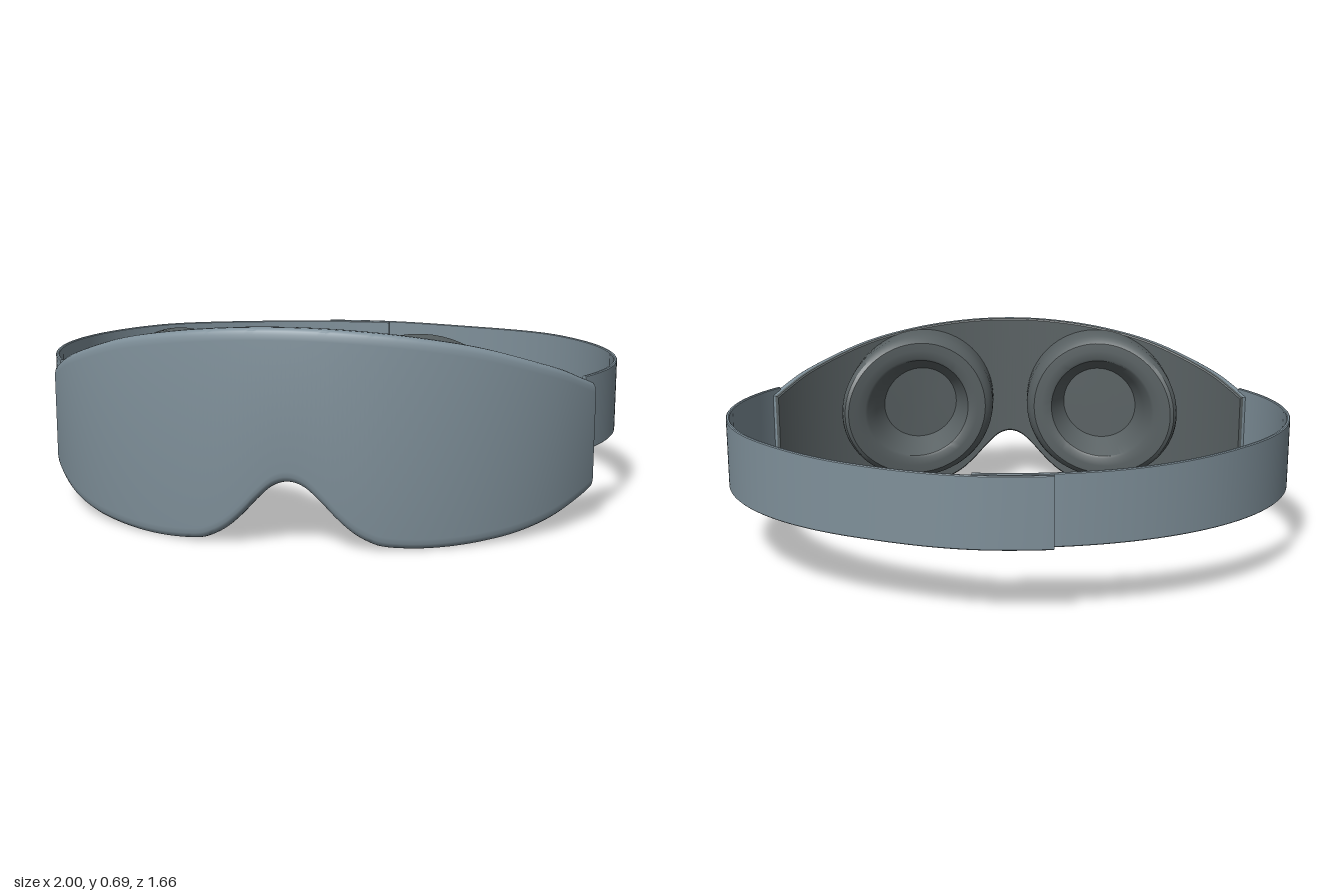
import * as THREE from 'three';
import { toCreasedNormals } from 'three/addons/utils/BufferGeometryUtils.js';

const MASK = { a: 1.01, b: 0.83 };    // plan ellipse of the mask's outer face
const STRAP = { a: 1.0, b: 0.803 };   // plan ellipse of the strap
const HALF = 0.925;                   // half width of the mask

// Point on a plan ellipse at angle t (0 = front, + towards +x), moved inwards by d
function onEllipse({ a, b }, t, d, y) {
  const n = new THREE.Vector2(Math.sin(t) / a, Math.cos(t) / b).normalize();
  return new THREE.Vector3(a * Math.sin(t) - n.x * d, y, b * Math.cos(t) - n.y * d);
}

// Solid skin through closed rings of equal length, with end caps
function loft(rings) {
  const m = rings[0].length, last = (rings.length - 1) * m;
  const pos = rings.flat().flatMap((p) => [p.x, p.y, p.z]);
  const idx = [];
  for (let i = 0; i < rings.length - 1; i++) {
    for (let j = 0; j < m; j++) {
      const k = (j + 1) % m, a = i * m + j, d = i * m + k;
      idx.push(a, a + m, d + m, a, d + m, d);
    }
  }
  for (let j = 1; j < m - 1; j++) {
    idx.push(0, j, j + 1, last, last + j + 1, last + j);
  }
  const g = new THREE.BufferGeometry();
  g.setAttribute('position', new THREE.Float32BufferAttribute(pos, 3));
  g.setIndex(idx);
  return toCreasedNormals(g, Math.PI / 5);
}

// Smooth outline y(x) through a few points
function outline(points) {
  const pts = new THREE.SplineCurve(points.map((p) => new THREE.Vector2(...p))).getPoints(400);
  return (x) => {
    const i = Math.max(1, pts.findIndex((p) => p.x >= x));
    const p = pts[i - 1], q = pts[i];
    return p.y + (q.y - p.y) * (x - p.x) / (q.x - p.x);
  };
}

const topEdge = outline([[-0.2, 0.684], [0, 0.692], [0.2, 0.684], [0.4, 0.66], [0.6, 0.617],
  [0.8, 0.542], [0.89, 0.49], [0.94, 0.455]]);
const bottomEdge = outline([[-0.05, 0.202], [0, 0.217], [0.05, 0.202], [0.1, 0.158], [0.15, 0.105],
  [0.2, 0.06], [0.25, 0.03], [0.3, 0.013], [0.4, 0.004], [0.5, 0.004], [0.6, 0.011],
  [0.7, 0.024], [0.8, 0.05], [0.89, 0.09], [0.94, 0.118]]);

// Mask layer: the section lists [depth, inset from bottom/top edge], used up then down
function maskLayer(section) {
  const rings = [], n = 140;
  for (let i = 0; i <= n; i++) {
    const x = HALF * (2 * i / n - 1), t = Math.asin(x / MASK.a);
    const lo = bottomEdge(Math.abs(x)), hi = topEdge(Math.abs(x));
    rings.push([
      ...section.map(([d, e]) => onEllipse(MASK, t, d, lo + e)),
      ...section.slice().reverse().map(([d, e]) => onEllipse(MASK, t, d, hi - e)),
    ]);
  }
  return loft(rings);
}

// Strap half between two angles; lift(t) pushes it outwards
function strapHalf(t0, t1, lift) {
  const rings = [], n = 90, thick = 0.012, r = 0.003;
  for (let i = 0; i <= n; i++) {
    const t = t0 + (t1 - t0) * i / n;
    const back = THREE.MathUtils.smoothstep(-Math.cos(t), 0.6, 1);
    const lo = 0.243, hi = 0.492 - 0.012 * back, o = -lift(t);
    rings.push([[thick - r, lo], [r, lo], [0, lo + r], [0, hi - r],
      [r, hi], [thick - r, hi], [thick, hi - r], [thick, lo + r]]
      .map(([d, y]) => onEllipse(STRAP, t, d + o, y)));
  }
  return loft(rings);
}

// Eye cup: turned profile [radius, depth], bent to follow the inside of the mask
function eyeCup(cx, cy) {
  const profile = [[0.295, -0.01], [0.296, 0.05], [0.295, 0.1], [0.29, 0.122], [0.28, 0.142],
    [0.266, 0.155], [0.235, 0.157], [0.205, 0.155], [0.196, 0.15], [0.17, 0.095],
    [0.143, 0.035], [0.07, 0.035], [0, 0.035]];
  const g = new THREE.LatheGeometry(profile.map((p) => new THREE.Vector2(...p)), 72);
  g.rotateX(-Math.PI / 2);
  g.translate(cx, cy, 0);
  const p = g.attributes.position;
  for (let i = 0; i < p.count; i++) {
    const x = p.getX(i);
    const inner = 0.78 * Math.sqrt(1 - (x / 0.96) ** 2);
    p.setZ(i, p.getZ(i) + inner);
  }
  g.deleteAttribute('normal');
  g.deleteAttribute('uv');
  return toCreasedNormals(g, Math.PI / 6);
}

export function createModel() {
  const fabric = new THREE.MeshStandardMaterial({ name: 'slate fabric', color: 0x7f909a });
  const padding = new THREE.MeshStandardMaterial({ name: 'dark padding', color: 0x596163 });
  const model = new THREE.Group();
  model.name = 'sleepMask';
  const add = (name, geometry, material) => {
    const mesh = new THREE.Mesh(geometry, material);
    mesh.name = name;
    model.add(mesh);
  };

  // Curved front shell with rounded rims, and its lining
  add('maskShell', maskLayer([[0.036, 0], [0.022, 0], [0.013, 0.003], [0.006, 0.009],
    [0.002, 0.019], [0, 0.035]]), fabric);
  add('maskLining', maskLayer([[0.05, 0.006], [0.046, 0.001], [0.036, 0]]), padding);

  // Cups around the eyes
  add('leftEyeCup', eyeCup(0.365, 0.36), padding);
  add('rightEyeCup', eyeCup(-0.365, 0.36), padding);

  // Strap halves overlapping at the back, the left one lying outside
  const front = Math.asin(0.89);
  const lift = (t) => 0.026 * THREE.MathUtils.smoothstep(t, Math.PI - 0.5, Math.PI - 0.02);
  add('leftStrap', strapHalf(front, Math.PI + 0.15, lift), fabric);
  add('rightStrap', strapHalf(-Math.PI - 0.1, -front, () => 0), fabric);

  return model;
}
